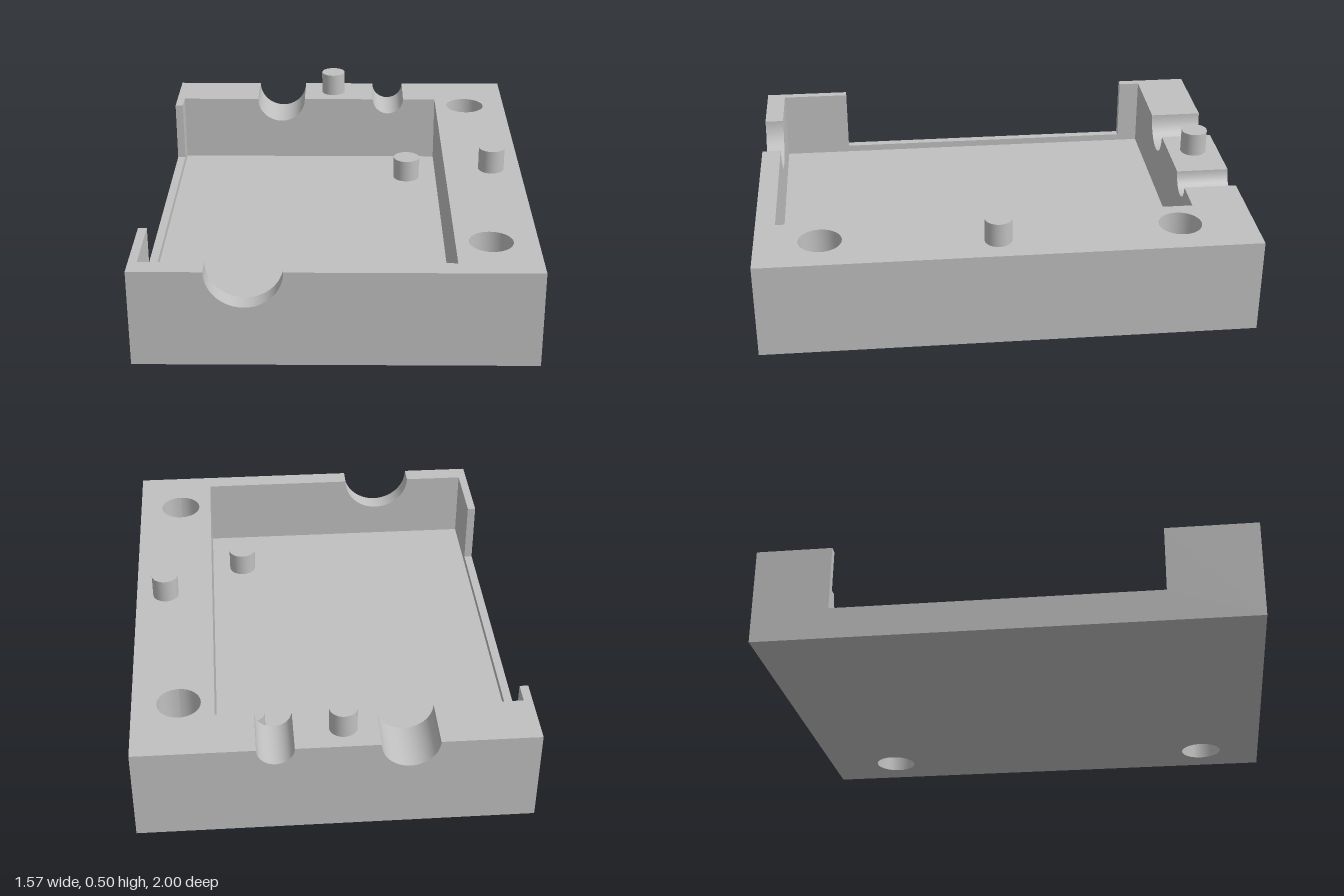
import * as THREE from 'three';
import { mergeGeometries } from 'three/addons/utils/BufferGeometryUtils.js';

const W = 0.785, D = 1, T = 0.4, FLOOR = 0.1, LIP = 0.13; // half width, half depth, heights
const CAV = { x0: -0.75, x1: 0.46, z0: -0.78, z1: 0.92 }; // inner pocket
const NOTCH = [-0.69, 0.63]; // z range of the side cut-out
const SEG = 32;
const frontGrooves = [{ x: -0.346, r: 0.15 }];
const backGrooves = [{ x: 0.235, r: 0.073 }, { x: -0.281, r: 0.113 }]; // ordered from +x to -x
const holes = [[0.6, -0.7], [0.6, 0.74]], HOLE_R = 0.087;

const poly = (pts) => new THREE.Shape(pts.map(([a, b]) => new THREE.Vector2(a, b)));
const rect = (a0, a1, b0, b1) => poly([[a0, b0], [a1, b0], [a1, b1], [a0, b1]]);

// Turn a surface inside out
function flip(geo) {
  geo.setIndex(Array.from(geo.index.array).reverse());
  geo.computeVertexNormals();
  return geo;
}

// Flat face at a given position on an axis, facing along sign
function panel(shape, axis, at, sign) {
  const geo = new THREE.ShapeGeometry(shape, SEG / 2);
  const p = geo.attributes.position;
  for (let i = 0; i < p.count; i++) {
    const u = p.getX(i), v = p.getY(i);
    if (axis === 'x') p.setXYZ(i, at, v, u);
    else if (axis === 'y') p.setXYZ(i, u, at, v);
    else p.setXYZ(i, u, v, at);
  }
  geo.computeVertexNormals();
  const natural = axis === 'z' ? 1 : -1;
  return sign === natural ? geo : flip(geo);
}

// Wall outline with half-round grooves cut into its upper edge
function grooved(x0, x1, y0, grooves) {
  const s = new THREE.Shape();
  s.moveTo(x0, y0);
  s.lineTo(x1, y0);
  s.lineTo(x1, T);
  for (const g of grooves) {
    s.lineTo(g.x + g.r, T);
    s.absarc(g.x, T, g.r, 0, -Math.PI, true);
  }
  s.lineTo(x0, T);
  return s;
}

// Side wall outline with the long cut-out
const notched = (z0, z1, y0) => poly([[z0, y0], [z1, y0], [z1, T], [NOTCH[1], T],
  [NOTCH[1], LIP], [NOTCH[0], LIP], [NOTCH[0], T], [z0, T]]);

function groove({ x, r }, z0, z1) {
  const geo = new THREE.CylinderGeometry(r, r, z1 - z0, SEG, 1, true, -Math.PI / 2, Math.PI);
  return flip(geo.rotateX(Math.PI / 2).translate(x, T, (z0 + z1) / 2));
}

function drill(shape) {
  for (const [x, z] of holes) {
    const h = new THREE.Path();
    h.absarc(x, z, HOLE_R, 0, Math.PI * 2, true);
    shape.holes.push(h);
  }
  return shape;
}

function housingGeometry() {
  const { x0, x1, z0, z1 } = CAV;
  const [f] = frontGrooves, [b1, b2] = backGrooves;
  const parts = [
    // underside and pocket floor
    panel(drill(rect(-W, W, -D, D)), 'y', 0, -1),
    panel(rect(x0, x1, z0, z1), 'y', FLOOR, 1),
    // rim: main block, piece between the back grooves, two corner pieces
    panel(drill(poly([[b1.x + b1.r, -D], [W, -D], [W, D], [f.x + f.r, D], [f.x + f.r, z1],
      [x1, z1], [x1, z0], [b1.x + b1.r, z0]])), 'y', T, 1),
    panel(rect(b2.x + b2.r, b1.x - b1.r, -D, z0), 'y', T, 1),
    panel(poly([[-W, -D], [b2.x - b2.r, -D], [b2.x - b2.r, z0], [x0, z0],
      [x0, NOTCH[0]], [-W, NOTCH[0]]]), 'y', T, 1),
    panel(poly([[-W, NOTCH[1]], [x0, NOTCH[1]], [x0, z1], [f.x - f.r, z1],
      [f.x - f.r, D], [-W, D]]), 'y', T, 1),
    // front and back walls, outside and inside
    panel(grooved(-W, W, 0, frontGrooves), 'z', D, 1),
    panel(grooved(x0, x1, FLOOR, frontGrooves), 'z', z1, -1),
    panel(grooved(-W, W, 0, backGrooves), 'z', -D, -1),
    panel(grooved(x0, x1, FLOOR, backGrooves), 'z', z0, 1),
    // side walls
    panel(rect(-D, D, 0, T), 'x', W, 1),
    panel(rect(z0, z1, FLOOR, T), 'x', x1, -1),
    panel(notched(-D, D, 0), 'x', -W, -1),
    panel(notched(z0, z1, FLOOR), 'x', x0, 1),
    // lip and ends of the cut-out
    panel(rect(-W, x0, NOTCH[0], NOTCH[1]), 'y', LIP, 1),
    panel(rect(-W, x0, LIP, T), 'z', NOTCH[0], 1),
    panel(rect(-W, x0, LIP, T), 'z', NOTCH[1], -1),
    // cable grooves
    ...frontGrooves.map((g) => groove(g, z1, D)),
    ...backGrooves.map((g) => groove(g, -D, z0)),
    // screw hole walls
    ...holes.map(([x, z]) => flip(new THREE.CylinderGeometry(HOLE_R, HOLE_R, T, SEG, 1, true)
      .translate(x, T / 2, z))),
  ];
  return mergeGeometries(parts);
}

export function createModel() {
  const model = new THREE.Group();
  model.name = 'caseHalf';
  const grey = new THREE.MeshStandardMaterial({ color: 0xc0c0c0 });
  grey.name = 'grey';

  const add = (name, geo) => {
    const mesh = new THREE.Mesh(geo, grey);
    mesh.name = name;
    model.add(mesh);
  };

  add('housing', housingGeometry());

  // Pegs: name, x, z, radius, base height
  for (const [name, x, z, r, y] of [
    ['backAlignmentPeg', -0.03, -0.89, 0.055, T],
    ['sideAlignmentPeg', 0.66, 0.04, 0.055, T],
    ['backMountingPeg', 0.32, -0.54, 0.06, FLOOR],
    ['frontMountingPeg', 0.32, 0.66, 0.06, FLOOR],
  ]) add(name, new THREE.CylinderGeometry(r, r, 0.1, SEG).translate(x, y + 0.05, z));

  return model;
}
